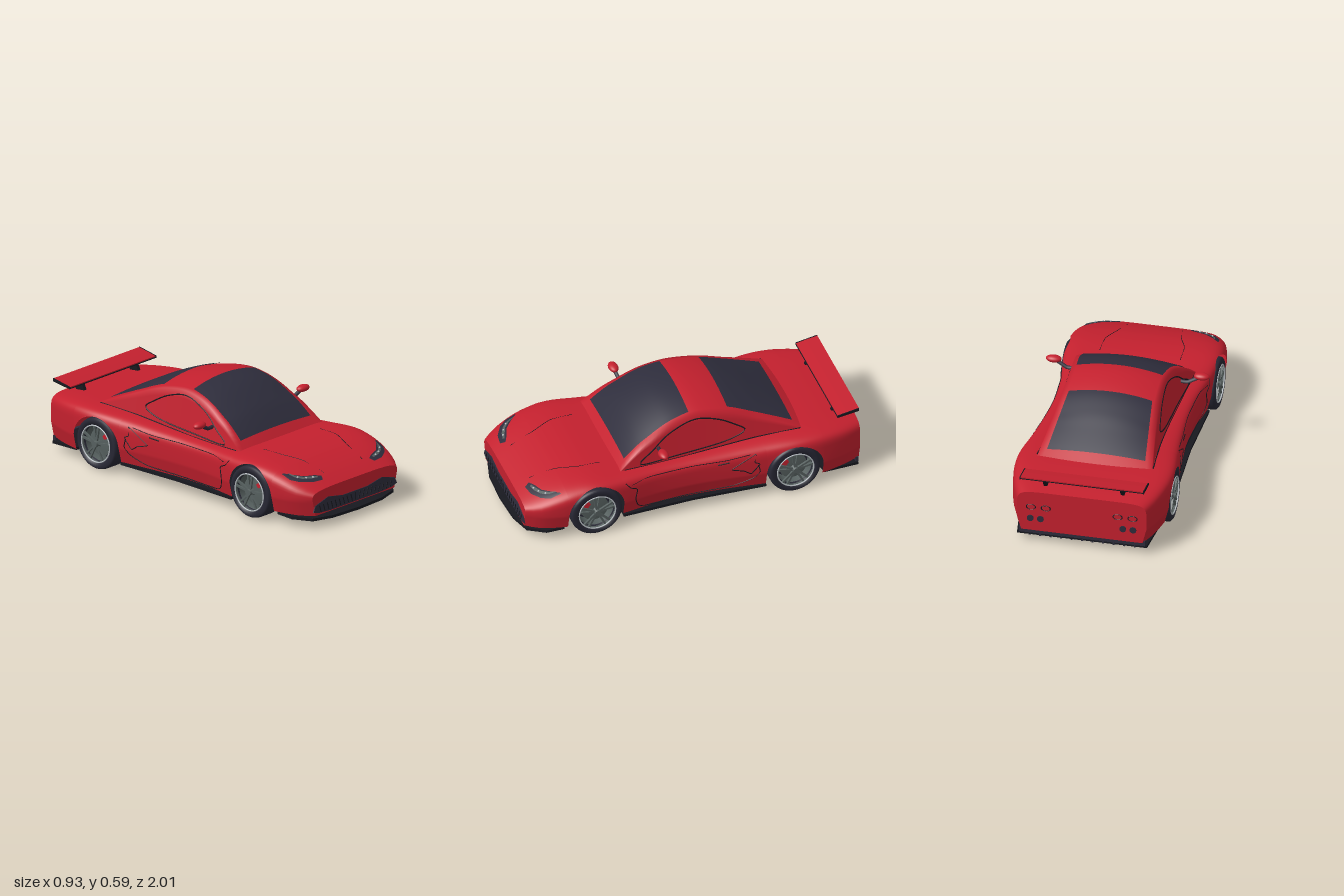
import * as THREE from 'three';

const mat = (name, color) => new THREE.MeshStandardMaterial({ name, color, side: THREE.DoubleSide });
const RED = mat('body red', 0xc4202e), GLASS = mat('tinted glass', 0x2e2d3c), BLACK = mat('black trim', 0x17181f);
const RUBBER = mat('tyre rubber', 0x272734), RIM = mat('rim grey', 0x56605f), SILVER = mat('silver', 0xb9bfc4);

// Smooth interpolation of table rows [z, a, b, ...], z ascending
function sample(t, z) {
  let i = 0;
  while (i < t.length - 2 && z > t[i + 1][0]) i++;
  const p = t[i], q = t[i + 1], o = t[i - 1] || p, r = t[i + 2] || q, d = q[0] - p[0];
  const u = Math.min(1, Math.max(0, (z - p[0]) / d));
  return p.slice(1).map((a, k) => {
    const b = q[k + 1], m = (b - o[k + 1]) / (q[0] - o[0]) * d, n = (r[k + 1] - a) / (r[0] - p[0]) * d;
    const u2 = u * u, u3 = u2 * u;
    return (2 * u3 - 3 * u2 + 1) * a + (u3 - 2 * u2 + u) * m + (3 * u2 - 2 * u3) * b + (u3 - u2) * n;
  });
}

// z, half width, top height, squareness
const BODY = [[-1, 0.37, 0.328, 8], [-0.9, 0.41, 0.34, 8], [-0.75, 0.445, 0.352, 8], [-0.6, 0.452, 0.352, 8], [-0.4, 0.428, 0.342, 7],
  [-0.2, 0.405, 0.328, 7], [0, 0.392, 0.32, 7], [0.2, 0.397, 0.32, 7], [0.4, 0.425, 0.326, 7], [0.58, 0.447, 0.332, 7],
  [0.7, 0.443, 0.32, 6], [0.8, 0.428, 0.296, 5], [0.9, 0.395, 0.258, 4], [0.968, 0.345, 0.222, 4]];
// z, roof height, base half width
const CABIN = [[-0.7, 0.345, 0.335], [-0.6, 0.402, 0.327], [-0.5, 0.455, 0.32], [-0.4, 0.505, 0.314], [-0.26, 0.56, 0.31], [-0.1, 0.59, 0.31],
  [0, 0.585, 0.313], [0.115, 0.553, 0.318], [0.25, 0.475, 0.326], [0.33, 0.405, 0.331], [0.41, 0.32, 0.337]];
const MID = 0.17, SILL = 0.075, WHEELS = [0.575, -0.595], ARCH = 0.165, AXLE = 0.153;

function sideX(y, z) {
  const [w, c, n] = sample(BODY, z);
  if (y <= MID) return w - 0.25 * (MID - y);
  return w * Math.pow(Math.max(0, 1 - Math.pow((y - MID) / (c - MID), n)), 1 / n);
}
function topY(x, z) {
  const [w, c, n] = sample(BODY, z);
  return MID + (c - MID) * Math.pow(Math.max(0, 1 - Math.pow(Math.abs(x) / w, n)), 1 / n);
}
function cabinEdge(z) {
  const [h, b] = sample(CABIN, z), ye = h - 0.04 * Math.min(1, Math.max(0, (h - 0.3) / 0.2));
  return { h, b, ye, xe: b - 0.18 * (ye - 0.33) };
}
function roofY(x, z) {
  const { h, ye, xe } = cabinEdge(z);
  return h - (h - ye) * (x / xe) ** 2;
}
const cabinX = (y, z) => sample(CABIN, z)[1] - 0.18 * (y - 0.33);

// Skin through rows of points
function loft(rows) {
  const n = rows[0].length, idx = [];
  for (let i = 0; i < rows.length - 1; i++) for (let j = 0; j < n - 1; j++) {
    const a = i * n + j;
    idx.push(a, a + 1, a + n, a + 1, a + n + 1, a + n);
  }
  const g = new THREE.BufferGeometry();
  g.setAttribute('position', new THREE.Float32BufferAttribute(rows.flat(2), 3));
  g.setIndex(idx);
  g.computeVertexNormals();
  return g;
}
const mirrorRow = half => [...half, ...half.slice(0, -1).reverse().map(([x, y, z]) => [-x, y, z])];

function bodySection(z, low) {
  const [w, c, n] = sample(BODY, z), y1 = Math.max(low, MID), half = [];
  for (let j = 0; j < 5; j++) {
    const y = low + (y1 - low) * j / 5;
    half.push([sideX(y, z), y, z]);
  }
  const t0 = Math.asin(Math.min(1, Math.pow((y1 - MID) / (c - MID), n / 2)));
  for (let j = 0; j <= 18; j++) {
    const t = t0 + (Math.PI / 2 - t0) * j / 18;
    half.push([w * Math.pow(Math.max(0, Math.cos(t)), 2 / n), MID + (c - MID) * Math.pow(Math.sin(t), 2 / n), z]);
  }
  half[half.length - 1][0] = 0;
  return mirrorRow(half);
}
function cabinSection(z) {
  const { b, ye, xe } = cabinEdge(z), half = [];
  for (let j = 0; j < 6; j++) {
    const y = 0.28 + (ye - 0.28) * j / 6;
    half.push([b - 0.18 * (y - 0.33), y, z]);
  }
  for (let j = 0; j <= 10; j++) half.push([xe * (1 - j / 10), roofY(xe * (1 - j / 10), z), z]);
  return mirrorRow(half);
}
const polygon = pts => new THREE.Shape(pts.map(p => new THREE.Vector2(...p)));

export function createModel() {
  const root = new THREE.Group();
  const add = (name, geo, m, pos = [0, 0, 0], parent = root) => {
    const o = new THREE.Mesh(geo, m);
    o.name = name;
    o.position.set(...pos);
    parent.add(o);
    return o;
  };
  const box = (...s) => new THREE.BoxGeometry(...s);
  const line = (name, pts, closed = false, r = 0.003, m = BLACK, tension = 0.3) => add(name, new THREE.TubeGeometry(
    new THREE.CatmullRomCurve3(pts.map(p => new THREE.Vector3(...p)), closed, 'catmullrom', tension), 64, r, 5, closed), m);

  // Body shell with wheel arches cut into its lower edge
  const stations = [];
  for (let i = 0; i <= 50; i++) {
    const z = -1 + 1.968 * i / 50;
    if (WHEELS.every(c => Math.abs(z - c) > ARCH + 0.005)) stations.push([z, SILL]);
  }
  for (const c of WHEELS) {
    stations.push([c - ARCH - 1e-5, SILL], [c + ARCH + 1e-5, SILL]);
    for (let i = 0; i <= 24; i++) {
      const a = Math.PI * i / 24;
      stations.push([c - ARCH * Math.cos(a), AXLE + 0.157 * Math.sin(a)]);
    }
  }
  stations.sort((a, b) => a[0] - b[0]);
  add('bodyShell', loft(stations.map(s => bodySection(...s))), RED);
  for (const [name, z] of [['nosePanel', 0.968], ['tailPanel', -1]])
    add(name, new THREE.ShapeGeometry(polygon(bodySection(z, SILL).map(p => [p[0], p[1]]))), RED, [0, 0, z]).rotation.y = z < 0 ? Math.PI : 0;

  // Cabin and glass
  const cabinRows = [];
  for (let i = 0; i <= 44; i++) cabinRows.push(cabinSection(-0.7 + 1.11 * i / 44));
  add('cabin', loft(cabinRows), RED);
  for (const [name, z0, w0, z1, w1] of [['windscreen', -0.03, 0.245, 0.365, 0.285], ['rearWindow', -0.63, 0.28, -0.26, 0.238]]) {
    const rows = [];
    for (let i = 0; i <= 20; i++) {
      const t = i / 20, z = z0 + (z1 - z0) * t, w = w0 + (w1 - w0) * t, row = [];
      for (let j = 0; j <= 16; j++) row.push([w * (1 - j / 8), roofY(w * (1 - j / 8), z) + 0.005, z]);
      rows.push(row);
    }
    add(name, loft(rows), GLASS);
  }

  // Floor with wheel notches, raked down at both ends
  const half = [[0.2, 0.99], [0.33, 0.955], [0.4, 0.86], [0.41, 0.76], [0.3, 0.74], [0.3, 0.41], [0.415, 0.41], [0.4, 0],
    [0.415, -0.43], [0.3, -0.43], [0.3, -0.76], [0.4, -0.78], [0.37, -0.99]];
  const outline = [[0, 1], ...half, ...half.slice().reverse().map(([x, z]) => [-x, z])].map(([x, z]) => [x, -z]);
  const floor = new THREE.ExtrudeGeometry(polygon(outline), { depth: 0.016, bevelEnabled: false }).rotateX(-Math.PI / 2);
  const fp = floor.attributes.position;
  for (let i = 0; i < fp.count; i++) fp.setY(i, fp.getY(i) + 0.06 - 0.09 * Math.max(0, Math.abs(fp.getZ(i)) - 0.76));
  floor.computeVertexNormals();
  add('floorAndSplitter', floor, BLACK);
  add('rearValance', box(0.72, 0.03, 0.02), GLASS, [0, 0.068, -0.985]);
  for (let i = -5; i <= 5; i++) add('diffuserFin', box(0.01, 0.02, 0.08), GLASS, [i * 0.06, 0.044, -0.95]);

  // Grille
  const g = [[0.34, 0.1], [0.325, 0.135], [0.22, 0.165], [0.1, 0.143]], gl = [[0.2, 0.082], [0.3, 0.088]];
  const flip = a => a.slice().reverse().map(([x, y]) => [-x, y]);
  add('grille', new THREE.ExtrudeGeometry(polygon([...gl, ...g, ...flip(g), ...flip(gl)]), { depth: 0.006, bevelEnabled: false }), GLASS, [0, 0, 0.966]);
  for (let i = -9; i <= 9; i++) add('grilleBar', box(0.005, 0.045, 0.004), BLACK, [i * 0.032, 0.112, 0.973]).rotation.z = -0.3 * Math.sign(i);

  // Tail lamps
  for (const s of [-1, 1]) {
    for (const x of [0.205, 0.29]) add('tailLampRing', new THREE.TorusGeometry(0.026, 0.003, 6, 28), BLACK, [s * x, 0.228, -1]).scale.y = 0.65;
    for (const x of [0.235, 0.293]) add('exhaust', new THREE.CylinderGeometry(0.019, 0.019, 0.012, 24).rotateX(Math.PI / 2), GLASS, [s * x, 0.155, -1]);
  }

  // Panel lines, headlamps and mirrors on both sides
  for (const s of [-1, 1]) {
    const onSide = pts => pts.map(([z, y]) => [s * sideX(y, z), y, z]);
    line('sideWindowSeal', [[0.28, 0.33], [0.2, 0.4], [0.1, 0.475], [-0.05, 0.525], [-0.19, 0.495], [-0.3, 0.435], [-0.345, 0.4], [-0.3, 0.37],
      [-0.18, 0.345], [0.05, 0.332]].map(([z, y]) => [s * cabinX(y, z), y, z]), true, 0.004, BLACK, 0.5);
    line('doorSeam', onSide([[0.4, 0.29], [0.37, 0.255], [0.33, 0.235], [0.34, 0.17], [0.32, 0.11], [0.27, 0.085], [0, 0.085], [-0.24, 0.095],
      [-0.35, 0.135], [-0.39, 0.18], [-0.38, 0.23]]));
    line('beltSeam', onSide([[0.36, 0.27], [0.25, 0.285], [0, 0.285], [-0.2, 0.285], [-0.34, 0.3]]), false, 0.002);
    line('sideVent', onSide([[-0.23, 0.22], [-0.3, 0.265], [-0.37, 0.3], [-0.36, 0.25], [-0.39, 0.235], [-0.34, 0.175], [-0.3, 0.2]]), true, 0.003, BLACK, 0.1);
    line('doorHandle', onSide([[-0.15, 0.265], [-0.22, 0.27]]), false, 0.004);
    line('bonnetCrease', [[0.23, 0.49], [0.225, 0.62], [0.18, 0.74], [0.155, 0.88]].map(([x, z]) => [s * x, topY(x, z), z]), false, 0.002);
    line('cabinSeam', [0.38, 0.2, 0, -0.2, -0.4, -0.66].map(z => [s * cabinX(0.33, z), topY(cabinX(0.33, z), z), z]), false, 0.004);

    // Headlamp: outer edge, inner edge
    const lamp = (name, m, k, lift) => {
      const rows = [[0.385, 0.77, 0.375, 0.775], [0.38, 0.83, 0.345, 0.81], [0.345, 0.875, 0.295, 0.855], [0.28, 0.912, 0.235, 0.875], [0.21, 0.922, 0.195, 0.895]]
        .map(([xa, za, xb, zb]) => [0, 0.25, 0.5, 0.75, 1].map(t => {
          const u = 0.5 + (t - 0.5) * k, cx = 0.295, cz = 0.855, q = 0.55 + 0.45 * k;
          const x = cx + (xa + (xb - xa) * u - cx) * q, z = cz + (za + (zb - za) * u - cz) * q;
          return [s * x, topY(x, z) + lift, z];
        }));
      add(name, loft(rows), m);
    };
    lamp('headlampHousing', GLASS, 1, 0.006);
    lamp('headlampLens', RIM, 0.45, 0.009);
    for (const [x, z] of [[0.335, 0.845], [0.295, 0.873], [0.255, 0.888]])
      add('headlampBulb', new THREE.SphereGeometry(0.006, 10, 6), SILVER, [s * x, topY(x, z) + 0.009, z]);

    line('mirrorArm', [[s * 0.3, 0.405, 0.17], [s * 0.345, 0.405, 0.17], [s * 0.41, 0.438, 0.18]], false, 0.011, GLASS);
    add('mirror', new THREE.SphereGeometry(1, 24, 16), RED, [s * 0.422, 0.445, 0.18]).scale.set(0.045, 0.02, 0.028);
  }

  // Rear wing
  const wing = new THREE.Group();
  wing.name = 'rearWing';
  root.add(wing);
  const strip = (pts, depth) => new THREE.ExtrudeGeometry(polygon(pts), { depth, bevelEnabled: false }).rotateY(-Math.PI / 2).translate(depth / 2, 0, 0);
  add('wingBlade', strip([[-0.875, 0.394], [-0.93, 0.405], [-1, 0.416], [-1, 0.409], [-0.93, 0.397], [-0.875, 0.388]], 0.7), RED, [0, 0, 0], wing);
  add('wingUnderside', strip([[-0.872, 0.388], [-0.93, 0.397], [-1, 0.409], [-1, 0.403], [-0.93, 0.388], [-0.872, 0.383]], 0.7), BLACK, [0, 0, 0], wing);
  for (const s of [-1, 1]) {
    add('wingEnd', strip([[-0.872, 0.382], [-0.872, 0.396], [-1, 0.418], [-1, 0.4]], 0.005), BLACK, [s * 0.352, 0, 0], wing);
    add('wingStrut', strip([[-0.87, 0.325], [-0.93, 0.325], [-0.98, 0.4], [-0.9, 0.39]], 0.02), BLACK, [s * 0.22, 0, 0], wing);
  }

  // Wheels
  const lathe = pts => new THREE.LatheGeometry(pts.map(p => new THREE.Vector2(...p)), 48).rotateZ(-Math.PI / 2);
  for (const z of WHEELS) for (const s of [-1, 1]) {
    const w = new THREE.Group();
    w.name = z > 0 ? 'frontWheel' : 'rearWheel';
    w.position.set(0, 0.15, z);
    w.scale.x = s;
    root.add(w);
    const part = (name, geo, m, pos) => add(name, geo, m, pos, w);
    part('tyre', lathe([[0.1, 0.34], [0.106, 0.315], [0.138, 0.315], [0.147, 0.323], [0.15, 0.335], [0.15, 0.42], [0.147, 0.432], [0.138, 0.44], [0.11, 0.44], [0.104, 0.41]]), RUBBER);
    part('wheelBacking', lathe([[0, 0.34], [0.106, 0.34]]), RUBBER);
    part('rimBarrel', lathe([[0.104, 0.34], [0.104, 0.405], [0.109, 0.441]]), RIM);
    part('brakeDisc', lathe([[0, 0.395], [0.08, 0.395], [0.08, 0.385]]), RIM);
    part('rimEdge', new THREE.TorusGeometry(0.107, 0.004, 8, 48).rotateY(Math.PI / 2), SILVER, [0.44, 0, 0]);
    part('brakeCaliper', box(0.02, 0.035, 0.03), RED, [0.41, 0.045, 0.055]).rotation.x = -0.7;
    for (let i = 0; i < 5; i++) for (const d of [-0.16, 0.16])
      part('spoke', box(0.012, 0.09, 0.011).translate(0, 0.06, 0), RIM, [0.432, 0, 0]).rotation.x = i * Math.PI * 0.4 + d;
    part('hub', new THREE.CylinderGeometry(0.016, 0.024, 0.03, 20).rotateZ(-Math.PI / 2), RIM, [0.434, 0, 0]);
  }
  return root;
}
